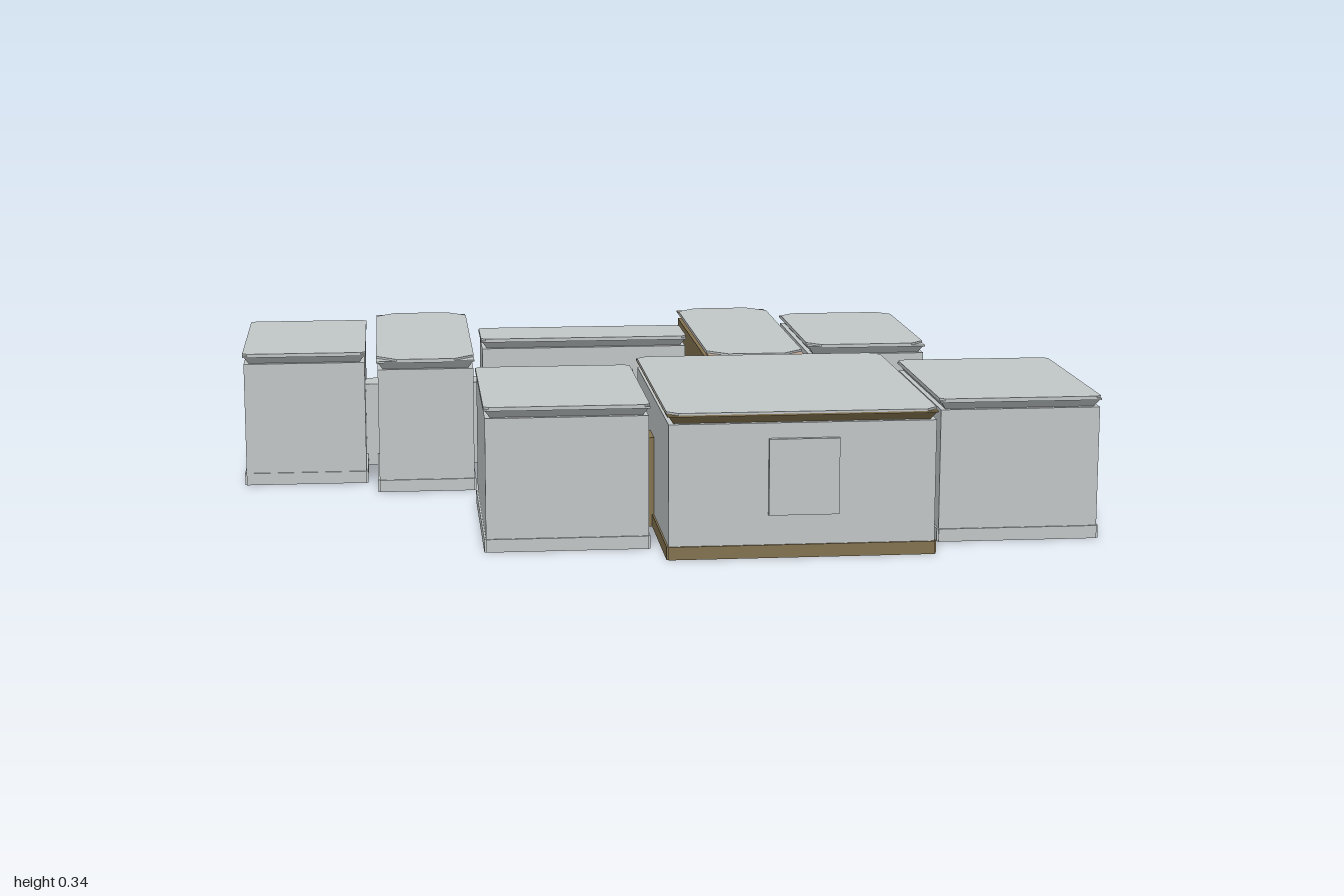
import * as THREE from 'three';

const mat = (name, color) => {
  const m = new THREE.MeshStandardMaterial({ color });
  m.name = name;
  return m;
};

export function createModel() {
  const grey = mat('pale grey panel', 0xc4c9ca);
  const brown = mat('brown panel', 0x857450);
  const tan = mat('tan door', 0xb9a28f);
  const model = new THREE.Group();
  model.name = 'modularBase';

  const WALL_H = 0.31, BASE_H = 0.03, T = 0.012;
  const DOOR_W = 0.076, DOOR_H = 0.205, WIN_Y = 0.11, WIN_H = 0.13;

  const add = (parent, name, geo, material, x = 0, y = 0, z = 0) => {
    const m = new THREE.Mesh(geo, material);
    m.name = name;
    m.position.set(x, y, z);
    parent.add(m);
    return m;
  };
  const box = (parent, name, material, w, h, d, x, y, z) =>
    add(parent, name, new THREE.BoxGeometry(w, h, d), material, x, y, z);
  const poly = pts => new THREE.Shape(pts.map(p => new THREE.Vector2(...p)));
  const extrude = (shape, depth) => new THREE.ExtrudeGeometry(shape, { depth, bevelEnabled: false });

  // Upside-down U: a door surround that is open at the floor
  const portal = (outerW, outerH, depth) => {
    const o = outerW / 2, i = DOOR_W / 2;
    return extrude(poly([[-o, 0], [-i, 0], [-i, DOOR_H], [i, DOOR_H], [i, 0],
      [o, 0], [o, outerH], [-o, outerH]]), depth);
  };

  // One wall, outside facing local +z, with doors, windows and closed panels
  function buildWall(parent, len, openings, wallMat, trimMat) {
    const h = len / 2;
    const doors = openings.filter(o => o.type === 'door' || o.type === 'exit').sort((a, b) => a.c - b.c);
    const outline = [[-h, 0]];
    const skirts = [];
    let start = -h;
    for (const { c } of doors) {
      const a = c - DOOR_W / 2, b = c + DOOR_W / 2;
      outline.push([a, 0], [a, DOOR_H], [b, DOOR_H], [b, 0]);
      skirts.push([start, a]);
      start = b;
    }
    skirts.push([start, h]);
    outline.push([h, 0], [h, WALL_H], [-h, WALL_H]);
    const shape = poly(outline);
    for (const o of openings) {
      const w = (o.w ?? 0.115) / 2;
      if (o.type === 'window') {
        const hole = (k, lo, hi) => new THREE.Path([[-k, lo], [-k, hi], [k, hi], [k, lo]]
          .map(([x, y]) => new THREE.Vector2(o.c + x, y)));
        shape.holes.push(hole(w, WIN_Y, WIN_Y + WIN_H));
        // Slim raised window surround
        const e = 0.008;
        const frame = poly([[o.c - w - e, WIN_Y - e], [o.c + w + e, WIN_Y - e],
          [o.c + w + e, WIN_Y + WIN_H + e], [o.c - w - e, WIN_Y + WIN_H + e]]);
        frame.holes.push(hole(w, WIN_Y, WIN_Y + WIN_H));
        add(parent, 'windowFrame', extrude(frame, 0.008), wallMat);
      } else if (o.type === 'panel') {
        box(parent, 'windowPanel', grey, w * 2, o.h, 0.012, o.c, 0.1 + o.h / 2, 0.006);
      } else if (o.type === 'exit') {
        add(parent, 'doorFrame', portal(0.1, 0.225, 0.02), wallMat, o.c, 0, -0.008);
      }
    }
    add(parent, 'wall', extrude(shape, T), wallMat, 0, 0, -T);
    for (const [a, b] of skirts) {
      box(parent, 'skirting', trimMat, b - a, BASE_H, T + 0.008, (a + b) / 2, BASE_H / 2, -T / 2);
    }
  }

  // Roof: flared cornice with a thin plate whose corners are cut
  function buildRoof(room, w, d, cut, trimMat, lipMat) {
    const cornice = new THREE.BoxGeometry(w, 0.018, d);
    const p = cornice.attributes.position;
    for (let i = 0; i < p.count; i++) {
      if (p.getY(i) < 0) {
        p.setX(i, p.getX(i) - Math.sign(p.getX(i)) * 0.012);
        p.setZ(i, p.getZ(i) - Math.sign(p.getZ(i)) * 0.012);
      }
    }
    cornice.computeVertexNormals();
    add(room, 'cornice', cornice, trimMat, 0, WALL_H + 0.009, 0);
    box(room, 'ceiling', grey, w - 0.03, 0.006, d - 0.03, 0, WALL_H - 0.005, 0);
    box(room, 'roofLip', lipMat, w + 0.006, 0.004, d + 0.006, 0, 0.329, 0);
    const x = w / 2 + 0.003, z = d / 2 + 0.003;
    const plate = extrude(poly([[-x + cut, -z], [x - cut, -z], [x, -z + cut], [x, z - cut],
      [x - cut, z], [-x + cut, z], [-x, z - cut], [-x, -z + cut]]), 0.005);
    plate.rotateX(-Math.PI / 2);
    add(room, 'roofPlate', plate, grey, 0, 0.331, 0);
  }

  // Openings use world coordinates along their wall; left is +x
  function buildRoom({ name, x, z, cut = 0.012, wall = grey, trim = grey, lip = trim, openings = {} }) {
    const room = new THREE.Group();
    room.name = name;
    const cx = (x[0] + x[1]) / 2, cz = (z[0] + z[1]) / 2;
    const w = x[1] - x[0] - 0.008, d = z[1] - z[0] - 0.008;
    room.position.set(cx, 0, cz);
    const sides = [
      ['front', 0, w, d, c => c - cx], ['back', Math.PI, w, d, c => cx - c],
      ['left', Math.PI / 2, d, w, c => cz - c], ['right', -Math.PI / 2, d, w, c => c - cz]];
    for (const [side, angle, len, depth, local] of sides) {
      const g = new THREE.Group();
      g.name = side + 'Wall';
      g.rotation.y = angle;
      g.position.set(Math.sin(angle) * depth / 2, 0, Math.cos(angle) * depth / 2);
      buildWall(g, len, (openings[side] ?? []).map(o => ({ ...o, c: local(o.c) })), wall, trim);
      room.add(g);
    }
    buildRoof(room, w, d, cut, trim, lip);
    model.add(room);
  }

  const door = c => ({ type: 'door', c });
  const win = c => ({ type: 'window', c });
  const panel = (c, w, h) => ({ type: 'panel', c, w, h });
  const ZB = -0.375, ZF = 0.38, XM = 0.283;

  // Back row
  buildRoom({ name: 'backRightRoom', x: [-1, -0.69], z: [-0.63, -0.115], openings: { left: [door(ZB)] } });
  buildRoom({ name: 'entranceHall', x: [-0.665, -0.42], z: [-0.74, -0.005], cut: 0.05,
    openings: { right: [door(ZB)], left: [door(ZB)], back: [{ type: 'exit', c: -0.54 }] } });
  buildRoom({ name: 'corridor', x: [-0.395, 0.142], z: [-0.465, -0.285],
    openings: { right: [door(ZB)], left: [door(ZB)],
      back: [panel(-0.125, 0.13, 0.15)], front: [panel(-0.055, 0.11, 0.15)] } });
  buildRoom({ name: 'brownHall', x: [0.165, 0.41], z: [-0.743, -0.005], cut: 0.05,
    wall: brown, trim: brown, lip: tan,
    openings: { right: [door(ZB)], left: [door(ZB)], front: [door(XM)], back: [win(0.288)] } });
  buildRoom({ name: 'backLeftRoom', x: [0.435, 0.74], z: [-0.63, -0.118], cut: 0.035,
    openings: { right: [door(ZB)], back: [win(0.588)] } });

  // Front row
  buildRoom({ name: 'frontRightRoom', x: [-0.425, -0.045], z: [0.12, 0.637], openings: { left: [door(ZF)] } });
  buildRoom({ name: 'mainRoom', x: [-0.02, 0.595], z: [0.01, 0.748], cut: 0.025, trim: brown,
    openings: { right: [door(ZF)], left: [door(ZF)], back: [door(XM)], front: [panel(0.29, 0.16, 0.175)] } });
  buildRoom({ name: 'frontLeftRoom', x: [0.62, 1], z: [0.12, 0.637],
    openings: { right: [door(ZF)], left: [win(ZF + 0.005)] } });

  // Short door tunnels between rooms: start, end, z, colour, closed door
  const tunnels = [
    [-0.7, -0.655, ZB, grey], [-0.43, -0.385, ZB, grey], [0.13, 0.175, ZB, grey],
    [0.4, 0.445, ZB, brown], [-0.055, -0.01, ZF, brown, true], [0.585, 0.63, ZF, brown, true]];
  for (const [a, b, z, material, closed] of tunnels) {
    const t = add(model, 'doorTunnel', portal(0.09, 0.215, b - a), material, a, 0, z);
    t.rotation.y = Math.PI / 2;
    if (closed) box(model, 'door', tan, 0.008, DOOR_H, DOOR_W, (a + b) / 2, DOOR_H / 2, z);
  }
  add(model, 'doorTunnel', portal(0.09, 0.215, 0.04), brown, XM, 0, -0.018);

  return model;
}
